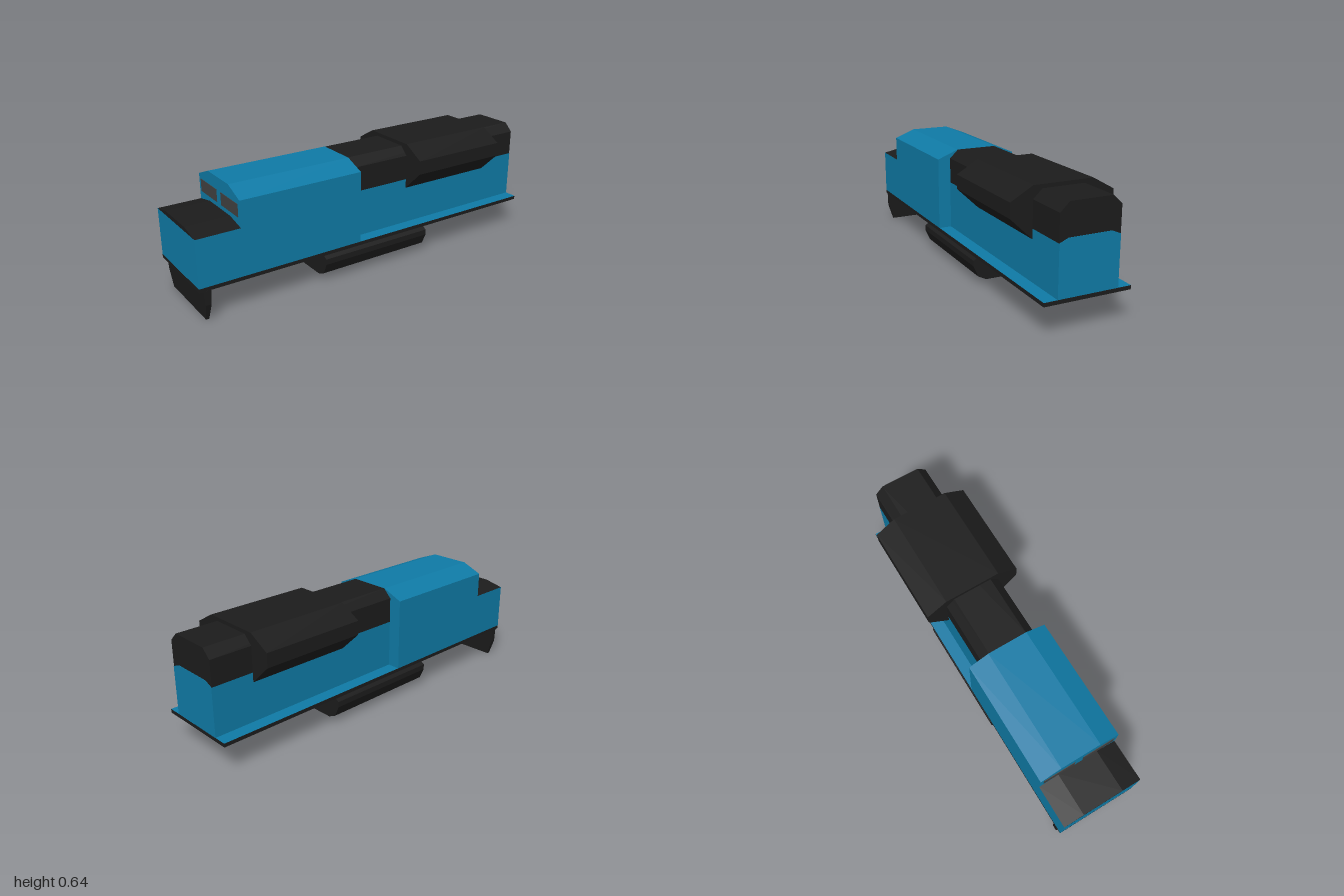
import * as THREE from 'three';

const paint = (color) => new THREE.MeshStandardMaterial({ color, flatShading: true });

export function createModel() {
  const blue = paint(0x0f7aa5), black = paint(0x1c1c1c), glass = paint(0x404040);
  const root = new THREE.Group();
  root.name = 'locomotive';
  const body = new THREE.Group();
  body.name = 'body';
  body.rotation.y = 0.5376; // stands diagonally on the ground
  root.add(body);

  const add = (name, geometry, material) => {
    const mesh = new THREE.Mesh(geometry, material);
    mesh.name = name;
    body.add(mesh);
    return mesh;
  };

  // Mirrors a half profile [halfWidth, y] (bottom to top) and runs it along x from u0 to u1
  const prism = (name, half, u0, u1, material) => {
    const mirrored = half.map(([w, y]) => [-w, y]).reverse();
    const shape = new THREE.Shape([...half, ...mirrored].map(([w, y]) => new THREE.Vector2(w, y)));
    const geometry = new THREE.ExtrudeGeometry(shape, { depth: u1 - u0, bevelEnabled: false });
    geometry.rotateY(Math.PI / 2).translate(u0, 0, 0);
    return add(name, geometry, material);
  };

  // Deck plate: black edges, blue faces
  const deck = new THREE.BoxGeometry(2.055, 0.02, 0.453);
  deck.translate(0, 0.175, 0);
  add('deck', deck, [black, black, blue, blue, black, black]);

  // Low nose with its dark cap
  prism('nose', [[0.227, 0.185], [0.227, 0.437]], -1.027, -0.79, blue);
  prism('noseCap', [[0.227, 0.437], [0.115, 0.46]], -1.027, -0.79, black);

  // Full-width cab with chamfered roof
  prism('cab', [[0.227, 0.185], [0.227, 0.575], [0.113, 0.62]], -0.796, -0.115, blue);
  for (const side of [-1, 1]) {
    const pane = add('windshield', new THREE.BoxGeometry(0.004, 0.066, 0.18), glass);
    pane.position.set(-0.797, 0.518, side * 0.115);
  }

  // Narrow rear hood: blue below, dark above
  prism('hoodBase', [[0.157, 0.185], [0.157, 0.44]], -0.115, 1.025, blue);
  prism('hoodTop', [[0.157, 0.44], [0.157, 0.575], [0.11, 0.62]], -0.115, 1.025, black);
  prism('hoodEndPanel', [[0.157, 0.185], [0.157, 0.44], [0.11, 0.46]], 1.02, 1.027, blue);

  // Wide flared radiator housing over the hood
  prism('radiator', [[0.157, 0.39], [0.272, 0.5], [0.272, 0.575], [0.157, 0.64]], 0.234, 0.8, black);

  // Fuel tank under the deck
  prism('fuelTank', [[0.155, 0.028], [0.2, 0.05], [0.227, 0.11], [0.227, 0.14], [0.185, 0.166]],
    -0.33, 0.33, black);

  // Plow blade, thinning toward its lower edge
  const plow = prism('plow', [[0.2, 0], [0.227, 0.09], [0.227, 0.166]], -1.005, -0.965, black);
  const p = plow.geometry.attributes.position;
  for (let i = 0; i < p.count; i++) {
    const k = 0.4 + 0.6 * p.getY(i) / 0.166;
    p.setX(i, -0.987 + (p.getX(i) + 0.987) * k);
  }
  plow.geometry.computeVertexNormals();

  return root;
}
